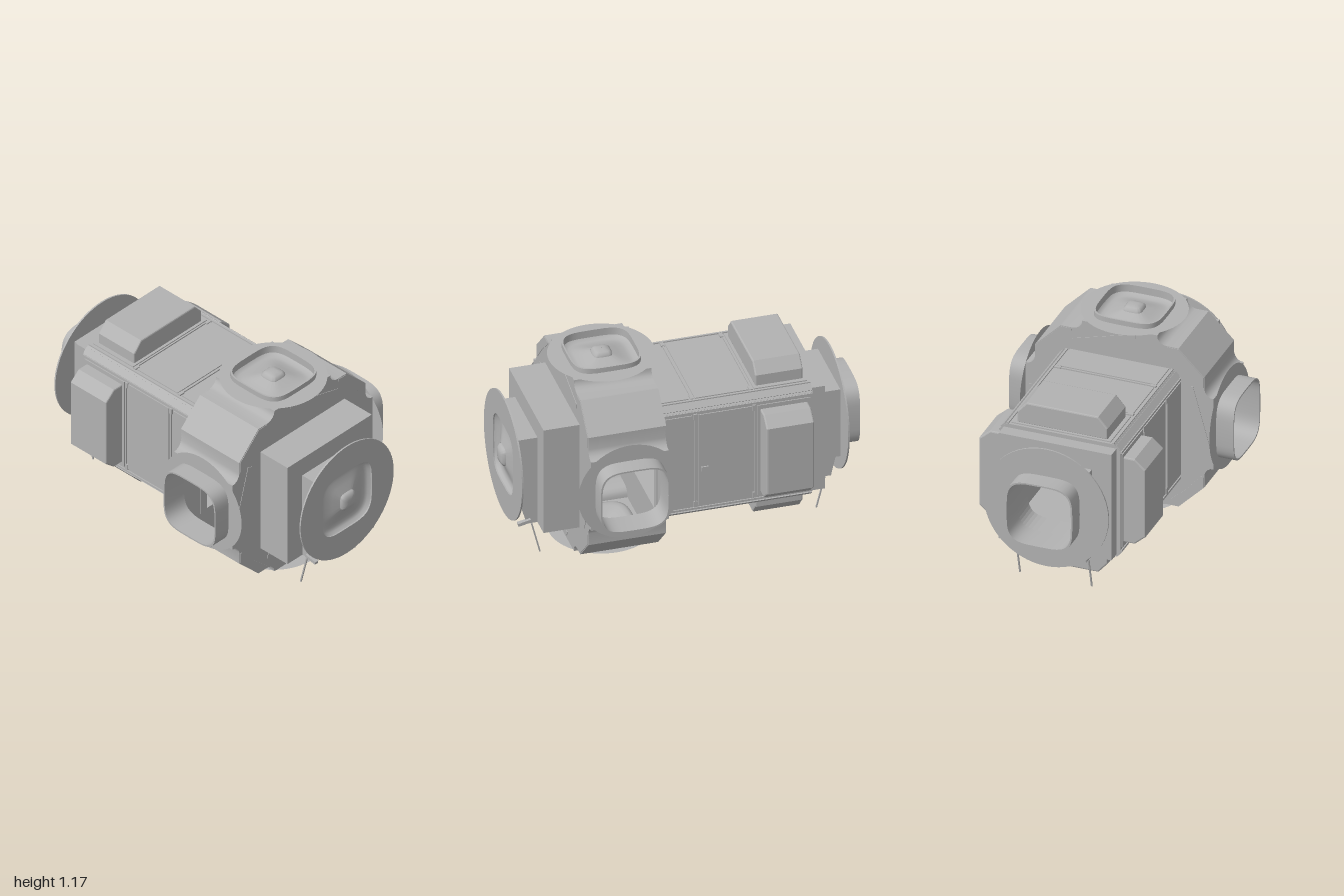
import * as THREE from 'three';
import { toCreasedNormals } from 'three/addons/utils/BufferGeometryUtils.js';

const CY = 0.585;      // height of the long axis
const RX = 0.41;       // centre of the ring section
const hullGrey = new THREE.MeshStandardMaterial({ color: 0xb2b2b2, side: THREE.DoubleSide });
hullGrey.name = 'hullGrey';

function add(parent, name, geo, x = 0, y = 0, z = 0) {
  const m = new THREE.Mesh(geo, hullGrey);
  m.name = name;
  m.position.set(x, y, z);
  parent.add(m);
  return m;
}
const box = (w, h, d) => new THREE.BoxGeometry(w, h, d);

// Rounded square outline, r = half width
function roundSquare(r, n = 40) {
  return Array.from({ length: n }, (_, i) => {
    const a = (i / n) * Math.PI * 2, f = (v) => r * Math.sign(v) * Math.sqrt(Math.abs(v));
    return new THREE.Vector2(f(Math.cos(a)), f(Math.sin(a)));
  });
}
const poly = (pts) => new THREE.Shape(pts.map((p) => new THREE.Vector2(p[0], p[1])));
const square = (r) => poly([[-r, -r], [r, -r], [r, r], [-r, r]]);
const withHole = (shape, pts) => { shape.holes.push(new THREE.Path(pts)); return shape; };

// Skin through rounded squares given as [half width, height along z]
function loft(rows, crease = 0.6) {
  const n = 40, pos = [], idx = [];
  rows.forEach(([r, d]) => roundSquare(r, n).forEach((p) => pos.push(p.x, p.y, d)));
  for (let k = 0; k < rows.length - 1; k++) for (let i = 0; i < n; i++) {
    const a = k * n + i, b = k * n + (i + 1) % n;
    idx.push(a, b, b + n, a, b + n, a + n);
  }
  const g = new THREE.BufferGeometry();
  g.setAttribute('position', new THREE.Float32BufferAttribute(pos, 3));
  g.setIndex(idx);
  return toCreasedNormals(g, crease);
}

// Outline in (-z, y) pushed along x from x0 to x1, with optional edge bevel
function alongX(shape, x0, x1, bevel = 0) {
  const g = new THREE.ExtrudeGeometry(shape, {
    depth: x1 - x0 - 2 * bevel, bevelEnabled: bevel > 0, bevelSize: bevel,
    bevelThickness: bevel, bevelOffset: -bevel, bevelSegments: 2,
  });
  return g.rotateY(Math.PI / 2).translate(x0 + bevel, 0, 0);
}

// Docking port facing local +z; disc at height d
function port(parent, name, rot, x, { d, r, tube, hatch, panel, thick }) {
  const g = new THREE.Group();
  g.name = name;
  g.position.set(x, CY, 0);
  g.rotation.set(...rot);
  parent.add(g);
  const disc = withHole(new THREE.Shape().absarc(0, 0, r, 0, Math.PI * 2), roundSquare(0.194));
  const discGeo = thick
    ? new THREE.ExtrudeGeometry(disc, { depth: thick, bevelEnabled: false, curveSegments: 32 })
    : new THREE.ShapeGeometry(disc, 32);
  add(g, 'flangeDisc', discGeo, 0, 0, d - (thick || 0) / 2);
  if (panel) {
    add(g, 'portPanel', new THREE.ShapeGeometry(withHole(square(0.22), roundSquare(0.196))), 0, 0, 0.55);
  }
  if (tube) {
    add(g, 'portTube', loft([[0.197, d - 0.05], [0.197, tube], [0.188, tube], [0.188, d - 0.05]]));
  }
  if (hatch) {
    add(g, 'hatchPetals', loft([[0.196, 0], [0.185, -0.02], [0.165, -0.028], [0.14, -0.026],
      [0.1, -0.013], [0.055, 0.004]], 0.9), 0, 0, d);
    add(g, 'hatchKnob', loft([[0.055, -0.002], [0.053, 0.014], [0.04, 0.026], [0.018, 0.031],
      [0.0005, 0.031]], 0.9), 0, 0, d);
  }
}

// Wide ring section that carries four ports
function ringSection(parent) {
  const curve = [[0.22, 0.55], [0.222, 0.53], [0.234, 0.512], [0.252, 0.5], [0.27, 0.495], [0.345, 0.495]];
  const quarter = [...curve, ...curve.map(([u, v]) => [v, u]).reverse()];
  const outline = [];
  for (let q = 0; q < 4; q++) quarter.forEach(([u, v]) => {
    for (let k = 0; k < q; k++) [u, v] = [v, -u];
    outline.push([u, v]);
  });
  const ring = new THREE.Group();
  ring.name = 'ringSection';
  ring.position.y = CY;
  parent.add(ring);
  // Outer skin, leaving the four flat sides to the port panels
  const pos = [], x0 = RX - 0.22, x1 = RX + 0.22;
  outline.forEach(([u, v], i) => {
    if (i % quarter.length === quarter.length - 1) return;
    const [s, t] = outline[(i + 1) % outline.length];
    pos.push(x0, v, u, x1, v, u, x1, t, s, x0, v, u, x1, t, s, x0, t, s);
  });
  const skin = new THREE.BufferGeometry();
  skin.setAttribute('position', new THREE.Float32BufferAttribute(pos, 3));
  add(ring, 'ringSkin', toCreasedNormals(skin, 0.6));
  const hole = square(0.325).getPoints();
  for (const x of [x0, x1 - 0.006]) {
    add(ring, 'ringEndPlate', alongX(withHole(poly(outline), hole), x, x + 0.006));
  }
  // Slanted raised ribs and corner pads on both end plates
  const pad = poly([[0.28, 0.49], [0.343, 0.49], [0.49, 0.343], [0.49, 0.28],
    [0.475, 0.28], [0.39, 0.375], [0.28, 0.475]]);
  for (const x of [x0 - 0.001, x1 + 0.001]) for (let k = 0; k < 4; k++) {
    const g = new THREE.Group();
    g.name = 'ringDetails';
    g.rotation.x = k * Math.PI / 2;
    ring.add(g);
    add(g, 'slantedRib', box(0.004, 0.03, 0.38), x, 0.465, -0.09).rotation.x = -0.27;
    add(g, 'cornerPad', alongX(pad, x - 0.002, x + 0.002));
  }
}

// Long hull with panels, rails and an equipment pod on each side
function mainHull(parent) {
  const hull = new THREE.Group();
  hull.name = 'mainHull';
  hull.position.y = CY;
  parent.add(hull);
  const a = 0.353, b = 0.315;
  const section = poly([[-b, -a], [b, -a], [a, -b], [a, b], [b, a], [-b, a], [-a, b], [-a, -b]]);
  add(hull, 'hullShell', alongX(withHole(section, square(0.3).getPoints()), -0.685, 0.2));
  add(hull, 'endFrame', alongX(withHole(square(0.33), roundSquare(0.194)), -0.76, -0.68));
  add(hull, 'endNeck', alongX(withHole(square(0.215), roundSquare(0.19)), -0.885, -0.76));

  const podShape = poly([[-0.265, 0], [0.265, 0], [0.265, 0.07], [0.21, 0.133], [-0.21, 0.133], [-0.265, 0.07]]);
  for (let k = 0; k < 4; k++) {
    const side = new THREE.Group();
    side.name = 'hullSide';
    side.rotation.x = k * Math.PI / 2;
    hull.add(side);
    add(side, 'equipmentPod', alongX(podShape, -0.655, -0.385, 0.008), 0, a, 0);
    add(side, 'podBase', box(0.3, 0.008, 0.58), -0.52, a + 0.002, 0);
    add(side, 'middlePanel', box(0.305, 0.008, 0.58), -0.187, a + 0.002, 0);
    add(side, 'innerPanel', box(0.19, 0.008, 0.58), 0.095, a + 0.002, 0);
    for (const s of [-1, 1]) {
      add(side, 'edgeRail', box(0.875, 0.012, 0.012), -0.245, a + 0.001, s * 0.308);
      for (const x of [-0.352, -0.018]) {
        add(side, 'hinge', box(0.02, 0.014, 0.035), x, a + 0.002, s * 0.28);
      }
    }
    for (const x of [-0.358, -0.018]) add(side, 'seamPost', box(0.008, 0.011, 0.58), x, a + 0.002, 0);
    add(side, 'cornerRail', box(0.875, 0.012, 0.03), -0.245, 0.335, 0.335).rotation.x = Math.PI / 4;
  }
  add(hull, 'doorLatch', box(0.04, 0.03, 0.012), -0.07, -0.06, -a - 0.008);
}

// Square block and neck beyond the ring
function farBlock(parent) {
  const g = new THREE.Group();
  g.name = 'farBlock';
  g.position.y = CY;
  parent.add(g);
  add(g, 'blockBody', alongX(square(0.33), 0.625, 0.835));
  add(g, 'blockNeck', box(0.075, 0.43, 0.43), 0.865, 0, 0);
  add(g, 'neckSleeve', alongX(withHole(square(0.215), roundSquare(0.2)), 0.9, 0.96));
}

// Side tabs, brackets and thin legs below each neck
function supports(parent) {
  const tabs = [[[-0.76, 0.255], [-0.76, 0.39], [-0.86, 0.39], [-0.83, 0.255]],
    [[0.835, 0.255], [0.895, 0.255], [0.935, 0.39], [0.835, 0.39]]];
  for (const s of [-1, 1]) {
    const z = s * 0.21;
    tabs.forEach((t) => add(parent, 'neckTab', new THREE.ExtrudeGeometry(poly(t),
      { depth: 0.006, bevelEnabled: false }), 0, 0, z - 0.003));
    for (const [x0, x1] of [[-0.795, -0.747], [0.868, 0.82]]) {
      const leg = add(parent, 'thinLeg', box(0.008, 0.195, 0.008), (x0 + x1) / 2, 0.158, z);
      leg.rotation.z = Math.atan2(x1 - x0, 0.19);
    }
    add(parent, 'tabBracket', box(0.075, 0.018, 0.024), 0.912, 0.272, s * 0.22).rotation.z = -0.2;
  }
}

export function createModel() {
  const model = new THREE.Group();
  model.name = 'stationModule';
  ringSection(model);
  mainHull(model);
  farBlock(model);
  supports(model);
  const H = Math.PI / 2;
  port(model, 'frontPort', [0, 0, 0], RX, { d: 0.555, r: 0.295, tube: 0.657, panel: true });
  port(model, 'backPort', [0, Math.PI, 0], RX, { d: 0.555, r: 0.295, tube: 0.657, panel: true });
  port(model, 'topPort', [-H, 0, 0], RX, { d: 0.555, r: 0.295, tube: 0.585, hatch: true, panel: true });
  port(model, 'bottomPort', [H, 0, 0], RX, { d: 0.553, r: 0.295, hatch: true, panel: true });
  port(model, 'leftEndPort', [0, H, 0], 0, { d: 0.963, r: 0.365, hatch: true, thick: 0.009 });
  port(model, 'rightEndPort', [0, -H, 0], 0, { d: 0.887, r: 0.365, tube: 1.0, thick: 0.009 });
  return model;
}
